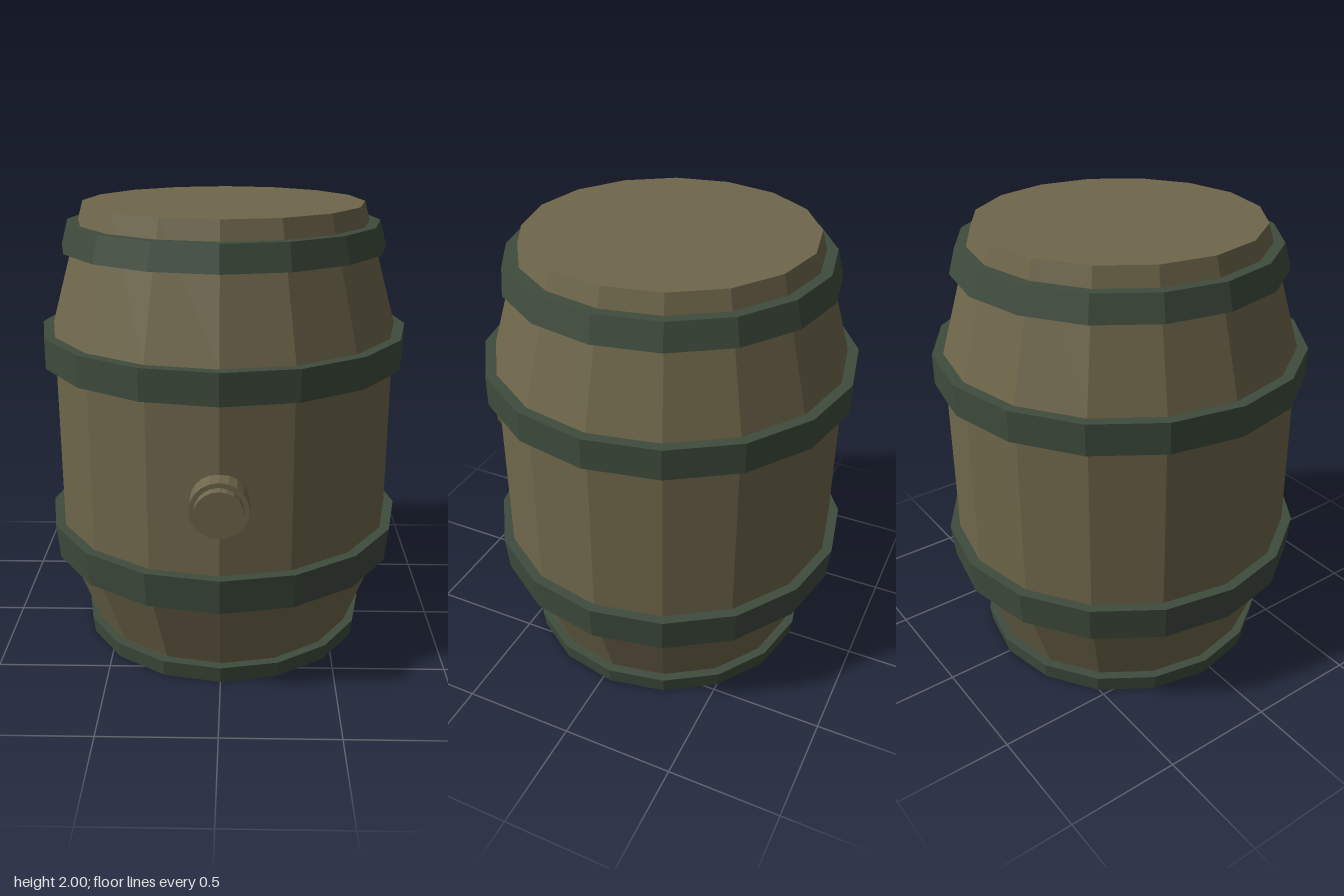
import * as THREE from 'three';

const SIDES = 16;

export function createModel() {
  const wood = new THREE.MeshStandardMaterial({ color: 0x6f674b, flatShading: true });
  wood.name = 'wood';
  const iron = new THREE.MeshStandardMaterial({ color: 0x3f4c3d, flatShading: true });
  iron.name = 'hoopIron';

  const model = new THREE.Group();
  model.name = 'barrel';

  // Turned parts share one 16-sided axis, slightly behind the centre
  const turned = (name, profile, material) => {
    const points = profile.map(([r, y]) => new THREE.Vector2(r, y));
    const mesh = new THREE.Mesh(new THREE.LatheGeometry(points, SIDES), material);
    mesh.name = name;
    mesh.position.z = -0.04;
    model.add(mesh);
  };

  // Staves with closed bottom and lid
  turned('staves', [[0, 0.002], [0.605, 0.002], [0.625, 0.08], [0.77, 0.47], [0.77, 1.46], [0.615, 2], [0, 2]], wood);

  // Hoops: bottom y, bottom radius, top y, top radius, inner radius
  const hoops = [
    ['baseHoop', 0, 0.655, 0.075, 0.665, 0.6],
    ['lowerHoop', 0.425, 0.8, 0.582, 0.815, 0.72],
    ['upperHoop', 1.325, 0.817, 1.46, 0.817, 0.75],
    ['topHoop', 1.81, 0.715, 1.92, 0.685, 0.62],
  ];
  for (const [name, y0, r0, y1, r1, inner] of hoops) {
    turned(name, [[inner, y0], [r0, y0], [r1, y1], [inner, y1], [inner, y0]], iron);
  }

  // Bung on the front: a wide collar and a narrower stopper
  const bung = new THREE.Group();
  bung.name = 'bung';
  for (const [name, r, z0, z1] of [['collar', 0.12, 0.66, 0.813], ['stopper', 0.1, 0.78, 0.855]]) {
    const mesh = new THREE.Mesh(new THREE.CylinderGeometry(r, r, z1 - z0, 20), wood);
    mesh.name = name;
    mesh.rotation.x = Math.PI / 2;
    mesh.position.set(0, 0.91, (z0 + z1) / 2);
    bung.add(mesh);
  }
  model.add(bung);

  return model;
}
